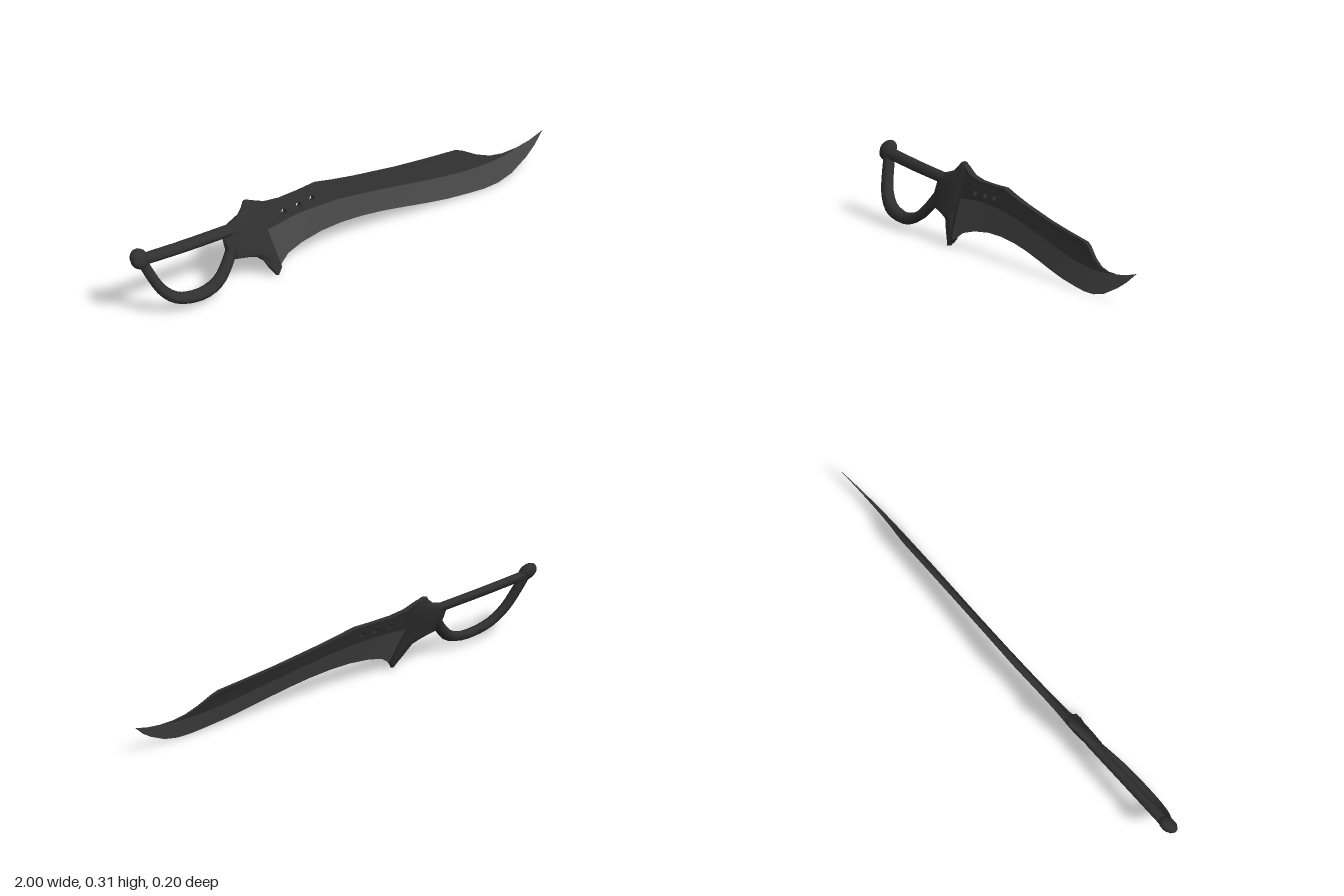
import * as THREE from 'three';
import { toCreasedNormals } from 'three/addons/utils/BufferGeometryUtils.js';

const darkSteel = new THREE.MeshStandardMaterial({ color: 0x303030 });
darkSteel.name = 'darkSteel';
const edgeSteel = new THREE.MeshStandardMaterial({ color: 0x484848 });
edgeSteel.name = 'edgeSteel';

// The sword is modelled flat in the xy plane, then leaned: z += -0.086x - 0.36y + 0.031
const lean = new THREE.Matrix4().set(1, 0, 0, 0, 0, 1, 0, 0, -0.086, -0.36, 1, 0.031, 0, 0, 0, 1);

// Half thickness of the blade, thinning toward the tip
function halfThickness(x) {
  if (x < -0.1) return 0.012;
  if (x < 0.6) return 0.012 - 0.004 * (x + 0.1) / 0.7;
  return 0.008 * Math.max(0, (1 - x) / 0.4);
}

// Joins closed rings of points into a skin
function loft(rings) {
  const n = rings[0].length, index = [];
  for (let i = 0; i < rings.length - 1; i++) {
    for (let k = 0; k < n; k++) {
      const a = i * n + k, b = i * n + (k + 1) % n;
      index.push(a, a + n, b + n, a, b + n, b);
    }
  }
  const geo = new THREE.BufferGeometry();
  geo.setAttribute('position', new THREE.Float32BufferAttribute(rings.flat(2), 3));
  geo.setIndex(index);
  geo.computeVertexNormals();
  return geo;
}

const curve = (pts) => new THREE.CatmullRomCurve3(pts.map(([x, y]) => new THREE.Vector3(x, y, 0)));

export function createModel() {
  const sword = new THREE.Group();
  sword.name = 'sword';
  const add = (name, geo, material) => {
    geo.applyMatrix4(lean);
    const mesh = new THREE.Mesh(geo, material);
    mesh.name = name;
    sword.add(mesh);
  };

  // Line where the blade body meets the ground edge, left to right
  const bevelLine = [[-0.35, 0.18], [-0.28, 0.187], [-0.2, 0.193], [-0.1, 0.191], [0, 0.185], [0.1, 0.172],
    [0.2, 0.157], [0.3, 0.141], [0.4, 0.125], [0.5, 0.11], [0.6, 0.098], [0.68, 0.092], [0.75, 0.091],
    [0.8, 0.094], [0.86, 0.099], [0.93, 0.108], [1, 0.125]];
  const cuttingEdge = [[-0.318, 0.03], [-0.27, 0.062], [-0.2, 0.08], [-0.1, 0.092], [0, 0.093], [0.1, 0.086],
    [0.2, 0.073], [0.3, 0.056], [0.4, 0.038], [0.5, 0.022], [0.6, 0.011], [0.68, 0.004], [0.75, 0.005],
    [0.82, 0.019], [0.9, 0.054], [0.95, 0.084], [1, 0.125]];

  // Blade body with three round holes
  const spine = [[0.86, 0.1], [0.8, 0.099], [0.74, 0.108], [0.68, 0.131], [0.62, 0.164], [0.59, 0.176],
    [0.45, 0.189], [0.3, 0.205], [0.1, 0.233], [0, 0.25], [-0.08, 0.266], [-0.17, 0.263], [-0.26, 0.263],
    [-0.33, 0.272], [-0.39, 0.295], [-0.42, 0.3], [-0.42, 0.11], [-0.37, 0.045], [-0.335, 0.01], [-0.318, 0.03]];
  const outline = [...bevelLine.slice(0, 14), ...spine].map((p) => new THREE.Vector2(...p));
  const shape = new THREE.Shape(outline);
  for (const [x, y] of [[-0.26, 0.219], [-0.187, 0.221], [-0.12, 0.224]]) {
    shape.holes.push(new THREE.Path().absarc(x, y, 0.0125, 0, Math.PI * 2, true));
  }
  const body = new THREE.ExtrudeGeometry(shape, { depth: 1, bevelEnabled: false, curveSegments: 6 });
  const pos = body.attributes.position;
  for (let i = 0; i < pos.count; i++) {
    pos.setZ(i, (pos.getZ(i) * 2 - 1) * halfThickness(pos.getX(i)));
  }
  add('bladeBody', toCreasedNormals(body, 0.6), darkSteel);

  // Ground cutting edge, wedge-shaped in section
  const wedge = loft(bevelLine.map(([x, y], i) => {
    const h = halfThickness(x);
    return [[...cuttingEdge[i], 0], [x, y, h], [x, y, -h]];
  }));
  add('cuttingEdge', toCreasedNormals(wedge, 0.5), edgeSteel);

  // Guard: oval sections stacked upward as [y, left x, right x, half thickness]
  const guard = [[0.002, -0.338, -0.338, 0], [0.004, -0.348, -0.332, 0.009], [0.035, -0.371, -0.322, 0.014],
    [0.07, -0.39, -0.33, 0.016], [0.095, -0.42, -0.336, 0.018], [0.11, -0.47, -0.34, 0.02],
    [0.125, -0.55, -0.342, 0.021], [0.18, -0.557, -0.346, 0.022], [0.225, -0.56, -0.35, 0.022],
    [0.247, -0.53, -0.345, 0.02], [0.265, -0.472, -0.345, 0.017], [0.285, -0.447, -0.37, 0.015],
    [0.304, -0.432, -0.402, 0.012], [0.31, -0.417, -0.417, 0]];
  add('guard', loft(guard.map(([y, l, r, t]) => Array.from({ length: 12 }, (_, k) => {
    const a = k / 12 * Math.PI * 2;
    return [(l + r) / 2 + Math.cos(a) * (r - l) / 2, y, Math.sin(a) * t];
  }))), darkSteel);

  // Grip bar and the curved knuckle bow below it
  add('grip', new THREE.TubeGeometry(curve([[-0.95, 0.25], [-0.75, 0.237], [-0.5, 0.226]]), 8, 0.021, 8), darkSteel);
  add('knuckleBow', new THREE.TubeGeometry(curve([[-0.95, 0.255], [-0.92, 0.185], [-0.88, 0.115], [-0.82, 0.067],
    [-0.75, 0.048], [-0.68, 0.046], [-0.61, 0.068], [-0.56, 0.113], [-0.52, 0.165]]), 20, 0.022, 8), darkSteel);

  // Rounded pommel
  const pommel = new THREE.SphereGeometry(1, 10, 7);
  pommel.scale(0.042, 0.037, 0.029).rotateZ(-0.35).translate(-0.959, 0.259, 0.004);
  add('pommel', pommel, darkSteel);

  return sword;
}
